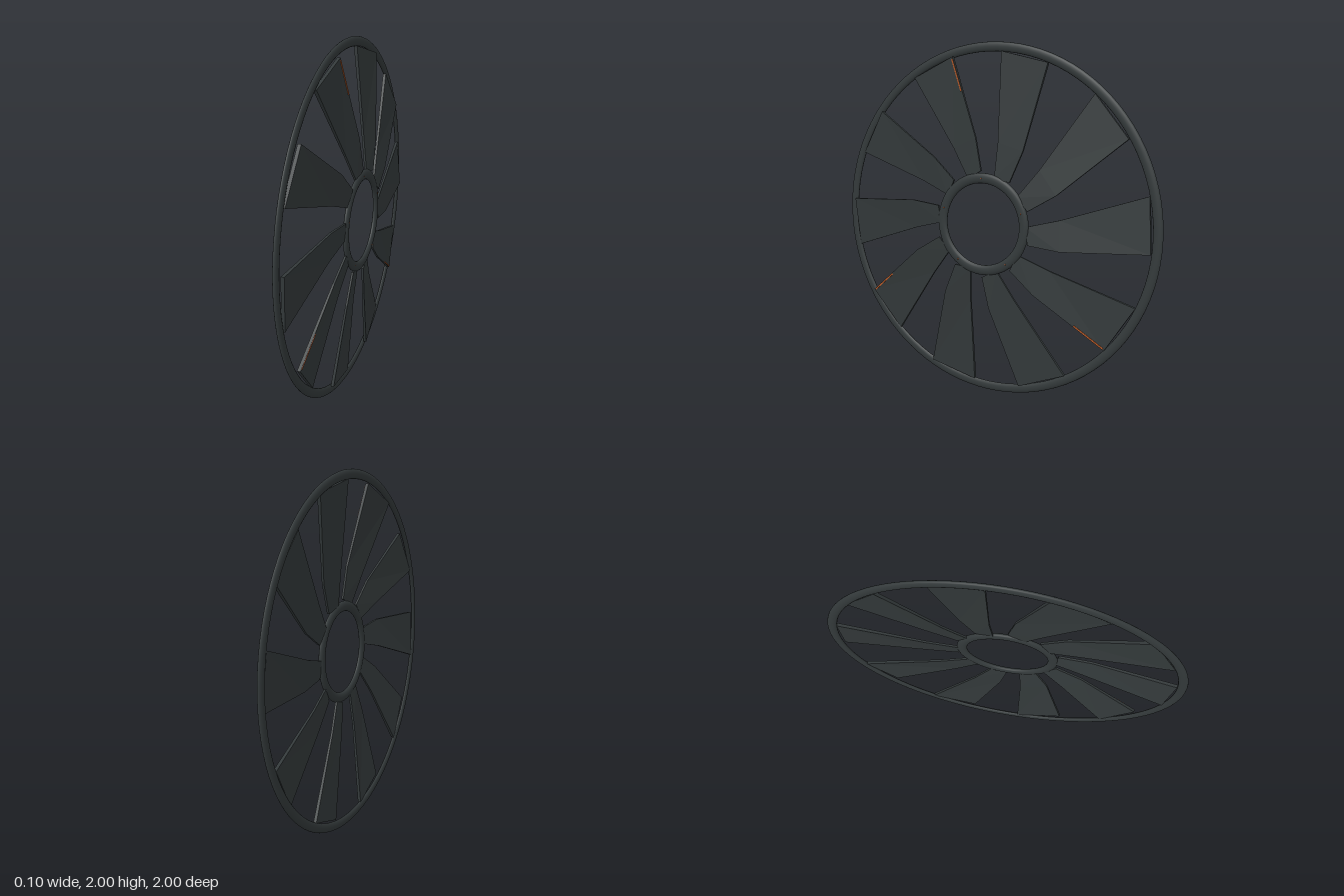
import * as THREE from 'three';

const dark = new THREE.MeshStandardMaterial({ color: 0x33393a });
const orange = new THREE.MeshStandardMaterial({ color: 0xb85a28 });
const BLADES = 10;

// Flattened torus around the x axis
function ring(name, radius, tube, halfDepth, x) {
  const geometry = new THREE.TorusGeometry(radius, tube, 16, 96);
  geometry.scale(1, 1, halfDepth / tube);
  geometry.rotateY(Math.PI / 2);
  const mesh = new THREE.Mesh(geometry, dark);
  mesh.name = name;
  mesh.position.x = x;
  return mesh;
}

// Solid strip through stations of { l, r, t }: left and right front points, thickness
function strip(stations) {
  const loops = stations.map(({ l, r, t }) => {
    const [a, b] = [new THREE.Vector3(...l), new THREE.Vector3(...r)];
    const back = new THREE.Vector3(-t, 0, 0);
    return [a, b, b.clone().add(back), a.clone().add(back)];
  });
  const points = [];
  const quad = (a, b, c, d) => points.push(a, b, c, a, c, d);
  for (let i = 0; i < loops.length - 1; i++) {
    for (let j = 0; j < 4; j++) {
      const k = (j + 1) % 4;
      quad(loops[i][j], loops[i][k], loops[i + 1][k], loops[i + 1][j]);
    }
  }
  quad(...loops[0].slice().reverse());
  quad(...loops[loops.length - 1]);
  const geometry = new THREE.BufferGeometry().setFromPoints(points);
  geometry.computeVertexNormals();
  return geometry;
}

export function createModel() {
  const model = new THREE.Group();
  model.name = 'fanWheel';
  const wheel = new THREE.Group();
  wheel.name = 'wheel';
  wheel.position.y = 1;
  model.add(wheel);

  wheel.add(ring('outerRim', 0.974, 0.026, 0.012, -0.036));
  wheel.add(ring('hubRing', 0.261, 0.029, 0.014, 0.033));

  // Pitched blade, flaring and sweeping from hub to rim
  const hub = { l: [0.036, 0.26, -0.076], r: [0.044, 0.245, -0.175], t: 0.012 };
  const mid = { l: [0.015, 0.457, -0.088], r: [0.035, 0.415, -0.25], t: 0.012 };
  const tip = { l: [-0.024, 0.947, -0.086], r: [-0.006, 0.876, -0.371], t: 0.018 };
  const bladeGeometry = strip([hub, mid, tip]);

  // Thin accent along the outer part of one blade edge
  const accentStation = (f) => {
    const p = new THREE.Vector3(...mid.r).lerp(new THREE.Vector3(...tip.r), f);
    return { l: [p.x + 0.002, p.y, p.z + 0.011], r: [p.x + 0.002, p.y, p.z + 0.003], t: 0.006 };
  };
  const accentGeometry = strip([accentStation(0.58), accentStation(0.98)]);

  for (let i = 0; i < BLADES; i++) {
    const angle = (i / BLADES) * Math.PI * 2;
    const blade = new THREE.Mesh(bladeGeometry, dark);
    blade.name = 'blade' + (i + 1);
    blade.rotation.x = angle;
    wheel.add(blade);
    if (i % 3 === 1) {
      const accent = new THREE.Mesh(accentGeometry, orange);
      accent.name = 'bladeAccent';
      blade.add(accent);
    }
  }

  // Small studs on the hub ring
  const studGeometry = new THREE.SphereGeometry(0.005, 10, 8);
  for (let i = 0; i < 5; i++) {
    const angle = (i / 5) * Math.PI * 2;
    const stud = new THREE.Mesh(studGeometry, orange);
    stud.name = 'hubStud';
    stud.position.set(0.044, 0.26 * Math.cos(angle), 0.26 * Math.sin(angle));
    wheel.add(stud);
  }
  return model;
}
